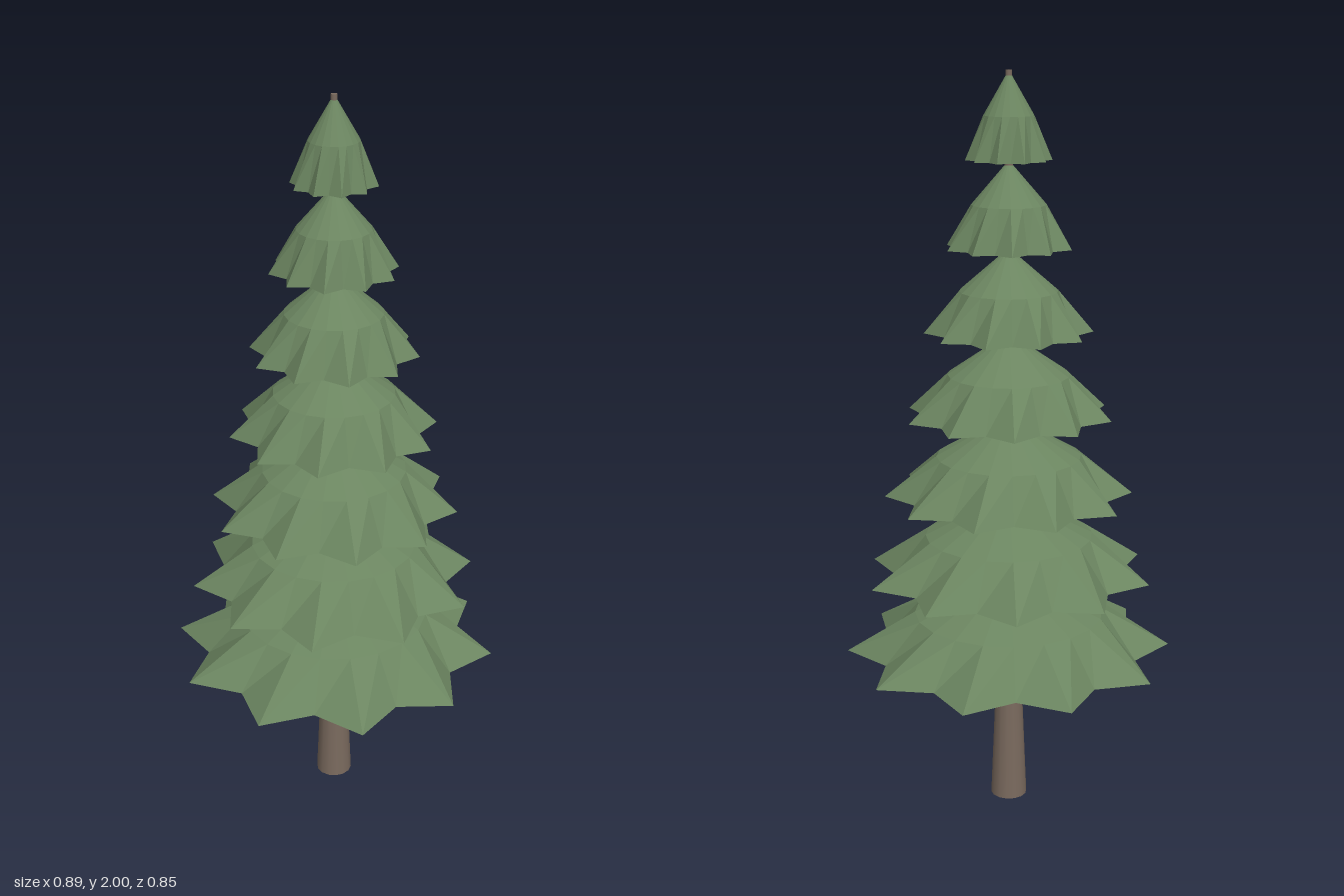
import * as THREE from 'three';

const TIERS = 7, POINTS = 10, STEP = 0.2225, BASE = 0.4425;

// One skirt of needles: a round cap flaring into a ten-pointed star rim.
function starTier(radius, oddTips) {
  const segs = POINTS * 2;
  const geo = new THREE.ConeGeometry(1, STEP, segs, 2, true);
  const pos = geo.attributes.position;
  for (let i = 0; i < pos.count; i++) {
    const row = Math.floor(i / (segs + 1)); // 0 apex, 1 cap edge, 2 rim
    const seg = i % (segs + 1);
    const isTip = (seg % 2 === 1) === oddTips;
    const r = radius * [0, 0.58, isTip ? 1 : 0.8][row];
    const a = (seg / segs) * Math.PI * 2;
    pos.setX(i, Math.sin(a) * r);
    pos.setZ(i, Math.cos(a) * r);
  }
  geo.computeVertexNormals();
  return geo;
}

export function createModel() {
  const tree = new THREE.Group();
  tree.name = 'pineTree';

  const needles = new THREE.MeshStandardMaterial({ color: 0x6b8560, flatShading: true, side: THREE.DoubleSide });
  needles.name = 'needleGreen';
  const bark = new THREE.MeshStandardMaterial({ color: 0x7a6a5e });
  bark.name = 'barkBrown';

  // Tapering trunk running through every tier
  const profile = [[0, 0], [0.05, 0], [0.05, 0], [0.032, 0.44], [0.022, 1], [0.008, 2], [0.008, 2], [0, 2]]
    .map(([r, y]) => new THREE.Vector2(r, y));
  const trunk = new THREE.Mesh(new THREE.LatheGeometry(profile, 14), bark);
  trunk.name = 'trunk';
  tree.add(trunk);

  // Shrinking tiers, with the points staggered from one to the next
  for (let i = 0; i < TIERS; i++) {
    const radius = 0.4445 * (1 - i / 8);
    const tier = new THREE.Mesh(starTier(radius, i % 2 === 0), needles);
    tier.name = `branchTier${i + 1}`;
    tier.position.y = BASE + (i + 0.5) * STEP;
    tree.add(tier);
  }
  return tree;
}
